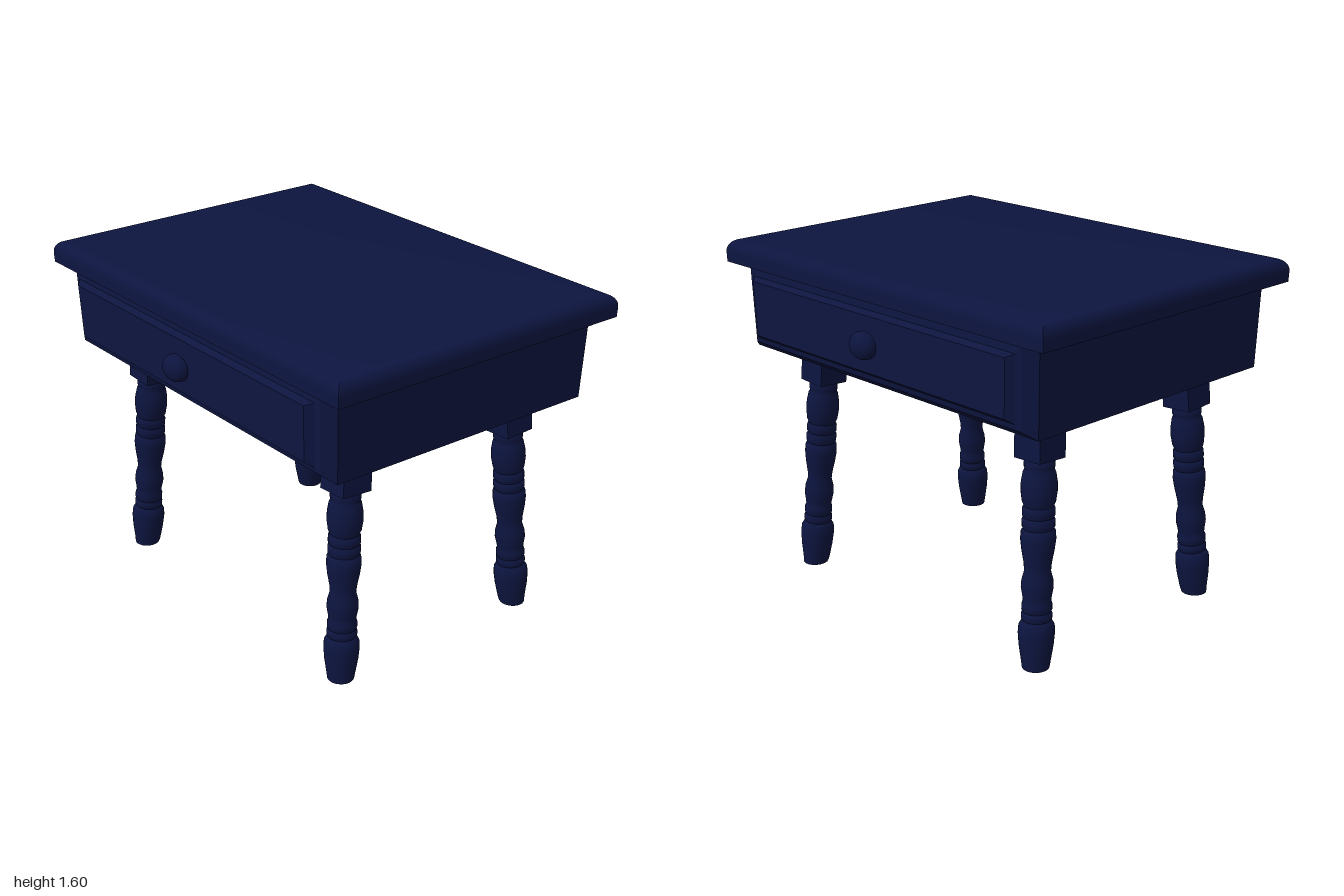
import * as THREE from 'three';
import { toCreasedNormals } from 'three/addons/utils/BufferGeometryUtils.js';

const SKEW = 0.2323; // the whole table is a parallelogram in plan

// Stack of rectangles, each [level, x0, x1, halfDepth], closed at both ends
function loft(levels) {
  const pos = [], index = [];
  levels.forEach(([y, x0, x1, d]) => pos.push(x0, y, d, x1, y, d, x1, y, -d, x0, y, -d));
  for (let i = 0; i < levels.length - 1; i++) {
    for (let j = 0; j < 4; j++) {
      const a = i * 4 + j, b = i * 4 + (j + 1) % 4;
      index.push(a, b, b + 4, a, b + 4, a + 4);
    }
  }
  const t = (levels.length - 1) * 4;
  index.push(0, 2, 1, 0, 3, 2, t, t + 1, t + 2, t, t + 2, t + 3);
  const g = new THREE.BufferGeometry();
  g.setAttribute('position', new THREE.Float32BufferAttribute(pos, 3));
  g.setIndex(index);
  return g;
}

const lathe = (pts, sides) =>
  new THREE.LatheGeometry(pts.map(([r, y]) => new THREE.Vector2(r, y)), sides);

export function createModel() {
  const model = new THREE.Group();
  model.name = 'sideTable';
  const paint = new THREE.MeshStandardMaterial({ color: 0x0d1540 });

  // Skews the geometry, keeps it above the floor and adds it as a named mesh
  function add(name, geometry, crease = 0.6) {
    const p = geometry.attributes.position;
    for (let i = 0; i < p.count; i++) {
      p.setY(i, Math.max(0, p.getY(i)));
      p.setZ(i, p.getZ(i) + SKEW * p.getX(i));
    }
    geometry.computeVertexNormals();
    const mesh = new THREE.Mesh(toCreasedNormals(geometry, crease), paint);
    mesh.name = name;
    model.add(mesh);
  }

  // Table top with a rounded upper edge
  const topLevels = [[1.495, -0.635, 0.635, 0.8525]];
  for (let i = 0; i <= 6; i++) {
    const a = (i / 6) * Math.PI / 2, inset = 0.045 * (1 - Math.cos(a));
    topLevels.push([1.54 + 0.055 * Math.sin(a), -0.635 + inset, 0.635 - inset, 0.8525 - inset]);
  }
  add('tableTop', loft(topLevels));

  // Drawer case
  add('case', loft([[1.115, -0.575, 0.575, 0.78], [1.5, -0.575, 0.575, 0.78]]));

  // Case underside, dipping slightly around the leg tops
  const underside = new THREE.PlaneGeometry(1.15, 1.56, 20, 20).rotateX(Math.PI / 2);
  const dip = (t) => {
    const u = Math.abs(t), k = u < 0.68 ? u / 0.68 : (1 - u) / 0.32;
    return Math.sin(k * Math.PI / 2);
  };
  const up = underside.attributes.position;
  for (let i = 0; i < up.count; i++) {
    up.setY(i, 1.114 - 0.02 * dip(up.getX(i) / 0.575) * dip(up.getZ(i) / 0.78));
  }
  add('caseUnderside', underside);

  // Drawer front and knob on both long sides
  for (const [side, turn] of [['left', 0], ['right', Math.PI]]) {
    const panel = loft([
      [0.56, -1.495, -1.115, 0.78],
      [0.575, -1.495, -1.115, 0.78],
      [0.612, -1.485, -1.15, 0.735],
      [0.616, -1.455, -1.175, 0.71],
      [0.64, -1.44, -1.195, 0.685],
    ]);
    add(side + 'DrawerFront', panel.rotateZ(-Math.PI / 2).rotateY(turn), 0.2);

    const knob = lathe([
      [0.024, 0.63], [0.024, 0.652], [0.048, 0.65], [0.058, 0.657],
      [0.06, 0.67], [0.056, 0.685], [0.042, 0.7], [0.022, 0.707], [0, 0.71],
    ], 24);
    knob.rotateZ(-Math.PI / 2).translate(0, 1.325, 0).rotateY(turn);
    add(side + 'Knob', knob, 0.8);
  }

  // Turned legs: [radius, height], hung from square blocks and splayed outwards
  const turning = [
    [0, -0.02], [0.052, -0.02], [0.055, 0.02], [0.065, 0.1], [0.069, 0.16], [0.067, 0.195],
    [0.058, 0.215], [0.053, 0.22], [0.058, 0.23], [0.058, 0.25], [0.052, 0.26],
    [0.057, 0.27], [0.057, 0.295], [0.052, 0.31], [0.054, 0.33], [0.06, 0.37], [0.058, 0.405],
    [0.049, 0.445], [0.051, 0.48], [0.06, 0.54], [0.065, 0.59], [0.063, 0.625],
    [0.055, 0.635], [0.06, 0.645], [0.061, 0.675], [0.054, 0.685], [0.06, 0.695],
    [0.06, 0.725], [0.054, 0.735], [0.061, 0.755], [0.066, 0.8], [0.065, 0.84],
    [0.059, 0.88], [0.053, 0.895], [0.056, 0.905], [0.056, 0.925], [0.051, 0.935], [0.051, 0.96],
  ];
  const pivot = 1.1;
  for (const sx of [1, -1]) {
    for (const sz of [1, -1]) {
      const name = (sz > 0 ? 'front' : 'back') + (sx > 0 ? 'Left' : 'Right');
      const splay = (g) => g.translate(0, -pivot, 0)
        .rotateZ(sx * 0.0655).rotateX(-sz * 0.06)
        .translate(sx * 0.387, pivot, sz * 0.602);
      add(name + 'Leg', splay(lathe(turning, 24)), 0.7);
      add(name + 'LegBlock', splay(new THREE.BoxGeometry(0.127, 0.17, 0.127).translate(0, 1.025, 0)));
    }
  }
  return model;
}
